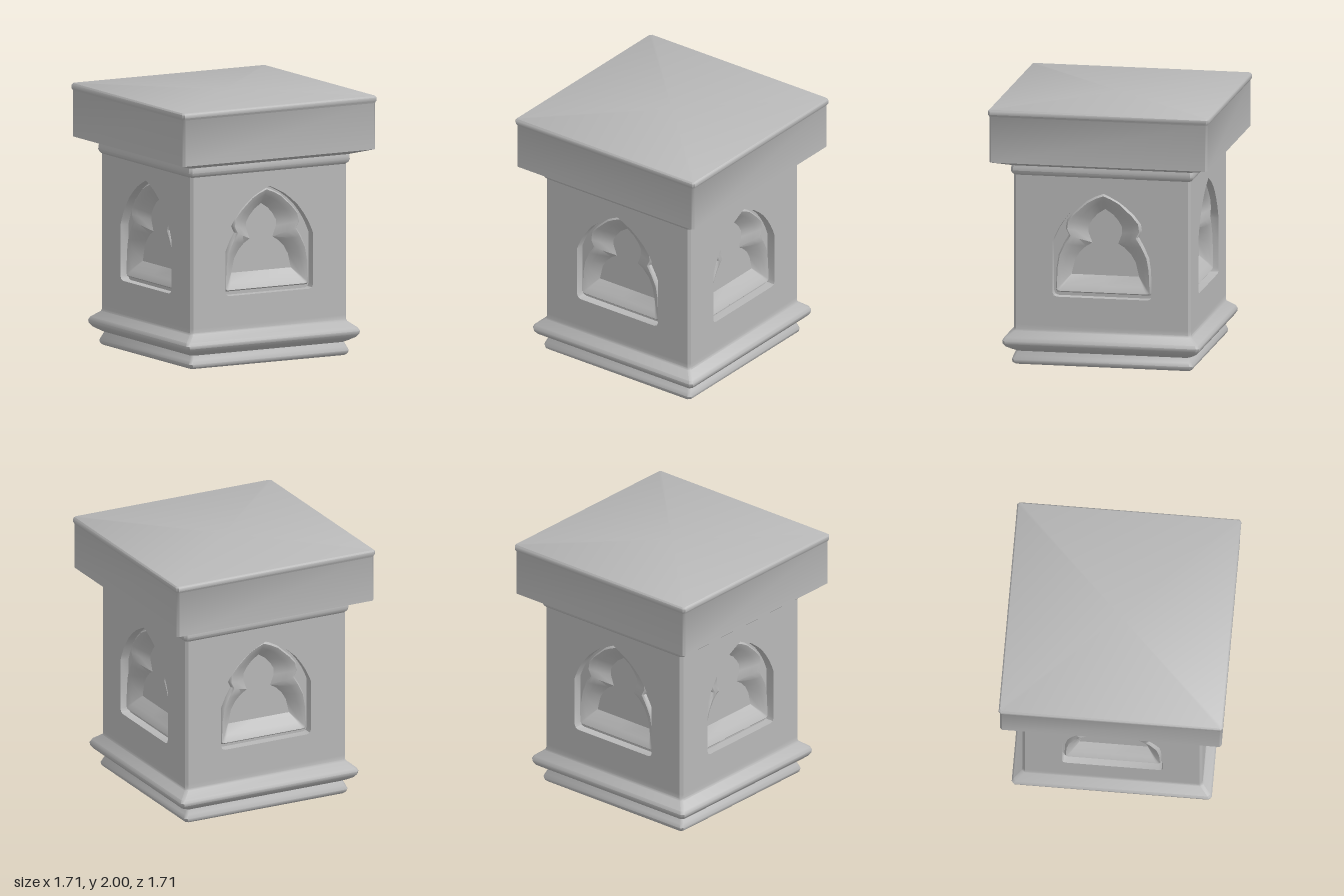
import * as THREE from 'three';
import { toCreasedNormals } from 'three/addons/utils/BufferGeometryUtils.js';

const stone = new THREE.MeshStandardMaterial({ color: 0xb8b8b8 });
stone.name = 'grey stone';

// Joins closed rings of equal length with quads; keep(i) selects which sides are made.
function loft(rings, crease, keep = () => true) {
  const n = rings[0].length;
  const index = [];
  for (let r = 0; r < rings.length - 1; r++) {
    for (let i = 0; i < n; i++) {
      if (!keep(i)) continue;
      const a = r * n + i, b = r * n + (i + 1) % n;
      index.push(a, b, b + n, a, b + n, a + n);
    }
  }
  const geometry = new THREE.BufferGeometry();
  geometry.setAttribute('position', new THREE.Float32BufferAttribute(rings.flat(2), 3));
  geometry.setIndex(index);
  return toCreasedNormals(geometry, crease);
}

// Square ring with chamfered corners: half width h at height y.
function squareRing([h, y], chamfer) {
  const a = Math.max(0, h - chamfer);
  return [[a, h], [h, a], [h, -a], [a, -h], [-a, -h], [-h, -a], [-h, a], [-a, h]]
    .map(([x, z]) => [x, y, z]);
}

const squareLoft = (profile, chamfer, keep) =>
  loft(profile.map((p) => squareRing(p, chamfer)), 0.75, keep);

// Right halves of the window outlines, from bottom centre to apex.
const ARCH = [[0, 0.535], [0.35, 0.535], [0.375, 0.545], [0.385, 0.57], [0.385, 0.76],
  [0.385, 0.96], [0.365, 1.01], [0.335, 1.07], [0.3, 1.125], [0.25, 1.19],
  [0.19, 1.245], [0.13, 1.29], [0.065, 1.325], [0, 1.355]];
const LEDGE = [[0, 0.56], [0.34, 0.56], [0.36, 0.562], [0.37, 0.575], [0.365, 0.75],
  [0.35, 0.85], [0.31, 0.94], [0.27, 1.01], [0.295, 1.06], [0.285, 1.12],
  [0.235, 1.18], [0.13, 1.275], [0.065, 1.31], [0, 1.335]];
const TREFOIL = [[0, 0.69], [0.255, 0.69], [0.258, 0.69], [0.26, 0.695], [0.235, 0.8],
  [0.2, 0.86], [0.15, 0.91], [0.1, 0.94], [0.13, 1.02], [0.13, 1.07],
  [0.1, 1.12], [0.06, 1.165], [0.03, 1.185], [0, 1.205]];

const mirrored = (half) =>
  [...half, ...half.slice(1, -1).reverse().map(([x, y]) => [-x, y])];
const toVectors = (points) => points.map(([x, y]) => new THREE.Vector2(x, y));
const atDepth = (points, z) => points.map(([x, y]) => [x, y, z]);

const HALF = 0.685, CHAMFER = 0.02, BOTTOM = 0.31, TOP = 1.47;

function addMesh(parent, name, geometry) {
  const mesh = new THREE.Mesh(geometry, stone);
  mesh.name = name;
  parent.add(mesh);
  return mesh;
}

// One side of the shaft with its recessed trefoil window.
function createSide() {
  const side = new THREE.Group();
  const arch = mirrored(ARCH), ledge = mirrored(LEDGE), trefoil = mirrored(TREFOIL);
  const floor = HALF - 0.07;

  const w = HALF - CHAMFER;
  const wall = new THREE.Shape(toVectors([[-w, BOTTOM], [w, BOTTOM], [w, TOP], [-w, TOP]]));
  wall.holes.push(new THREE.Path(toVectors(arch)));
  addMesh(side, 'shaftWall', new THREE.ShapeGeometry(wall)).position.z = HALF;

  addMesh(side, 'windowReveal',
    loft([atDepth(arch, HALF), atDepth(arch, floor), atDepth(ledge, floor)], 0.6));

  // Moulding sweeps from the ledge outline back to the trefoil panel
  const steps = [[0, 0.07], [0.03, 0.048], [0.1, 0.038], [0.2, 0.044], [0.45, 0.066], [1, 0.125]];
  const rings = steps.map(([t, depth]) => ledge.map(([x, y], i) => [
    THREE.MathUtils.lerp(x, trefoil[i][0], t),
    THREE.MathUtils.lerp(y, trefoil[i][1], t),
    HALF - depth,
  ]));
  addMesh(side, 'trefoilMoulding', loft(rings, 0.75));

  const panel = new THREE.ShapeGeometry(new THREE.Shape(toVectors(trefoil)));
  addMesh(side, 'trefoilPanel', panel).position.z = HALF - 0.125;
  return side;
}

export function createModel() {
  const model = new THREE.Group();
  model.name = 'pedestal';

  // Moulded foot
  addMesh(model, 'base', squareLoft([
    [0, 0], [0.68, 0], [0.694, 0.012], [0.7, 0.035], [0.688, 0.065], [0.672, 0.1],
    [0.705, 0.118], [0.74, 0.14], [0.758, 0.165], [0.762, 0.188], [0.75, 0.212],
    [0.69, 0.26], [HALF, 0.275], [HALF, BOTTOM]], CHAMFER));

  // Shaft corners, then four identical window sides
  addMesh(model, 'shaftCorners',
    squareLoft([[HALF, BOTTOM], [HALF, TOP]], CHAMFER, (i) => i % 2 === 0));
  for (let i = 0; i < 4; i++) {
    const side = createSide();
    side.name = ['frontSide', 'leftSide', 'backSide', 'rightSide'][i];
    side.rotation.y = i * Math.PI / 2;
    model.add(side);
  }

  // Necking bead under the cap
  addMesh(model, 'neck', squareLoft([
    [HALF, TOP], [0.7, 1.485], [0.706, 1.505], [0.704, 1.53], [0.7, 1.548]], CHAMFER));

  // Cap slab with a sloping underside and a thin top lip
  addMesh(model, 'cap', squareLoft([
    [0.7, 1.545], [0.844, 1.59], [0.844, 1.945], [0.853, 1.962], [0.853, 1.988],
    [0.843, 2], [0, 2]], 0.016));

  return model;
}
